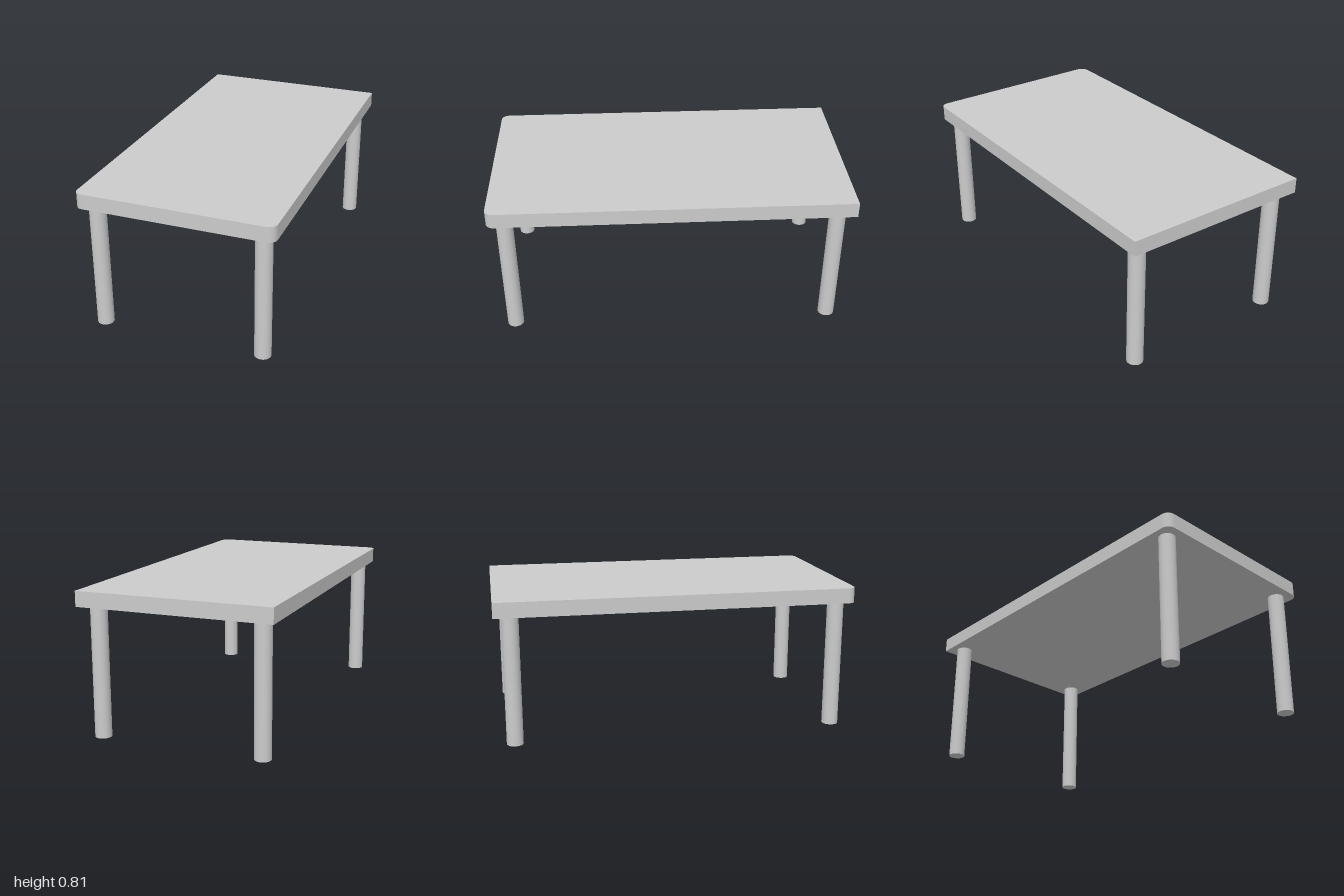
import * as THREE from 'three';
import { toCreasedNormals } from 'three/addons/utils/BufferGeometryUtils.js';

const LEG_HEIGHT = 0.727;
const TOP_THICKNESS = 0.085;
const HALF_W = 0.545;
const HALF_L = 1;
const CORNER = 0.045;

export function createModel() {
  const group = new THREE.Group();
  group.name = 'table';
  const material = new THREE.MeshStandardMaterial({ color: 0xcccccc });

  // Table top: square corners at the back, rounded corners at the front
  const outline = new THREE.Shape();
  outline.moveTo(-HALF_W, HALF_L);
  outline.lineTo(-HALF_W, -HALF_L + CORNER);
  outline.absarc(-HALF_W + CORNER, -HALF_L + CORNER, CORNER, Math.PI, Math.PI * 1.5, false);
  outline.lineTo(HALF_W - CORNER, -HALF_L);
  outline.absarc(HALF_W - CORNER, -HALF_L + CORNER, CORNER, -Math.PI / 2, 0, false);
  outline.lineTo(HALF_W, HALF_L);
  outline.closePath();
  const slab = new THREE.ExtrudeGeometry(outline, {
    depth: TOP_THICKNESS, bevelEnabled: false, curveSegments: 6,
  });
  slab.rotateX(-Math.PI / 2); // shape -y becomes the front (+z)
  const top = new THREE.Mesh(toCreasedNormals(slab, 0.6), material);
  top.name = 'tableTop';
  top.position.y = LEG_HEIGHT;
  group.add(top);

  // Four round legs, inset from the corners
  const legGeometry = new THREE.CylinderGeometry(0.046, 0.046, LEG_HEIGHT, 32);
  for (const [zName, z] of [['front', 0.909], ['back', -0.909]]) {
    for (const [xName, x] of [['Left', 0.46], ['Right', -0.46]]) {
      const leg = new THREE.Mesh(legGeometry, material);
      leg.name = `${zName}${xName}Leg`;
      leg.position.set(x, LEG_HEIGHT / 2, z);
      group.add(leg);
    }
  }
  return group;
}
